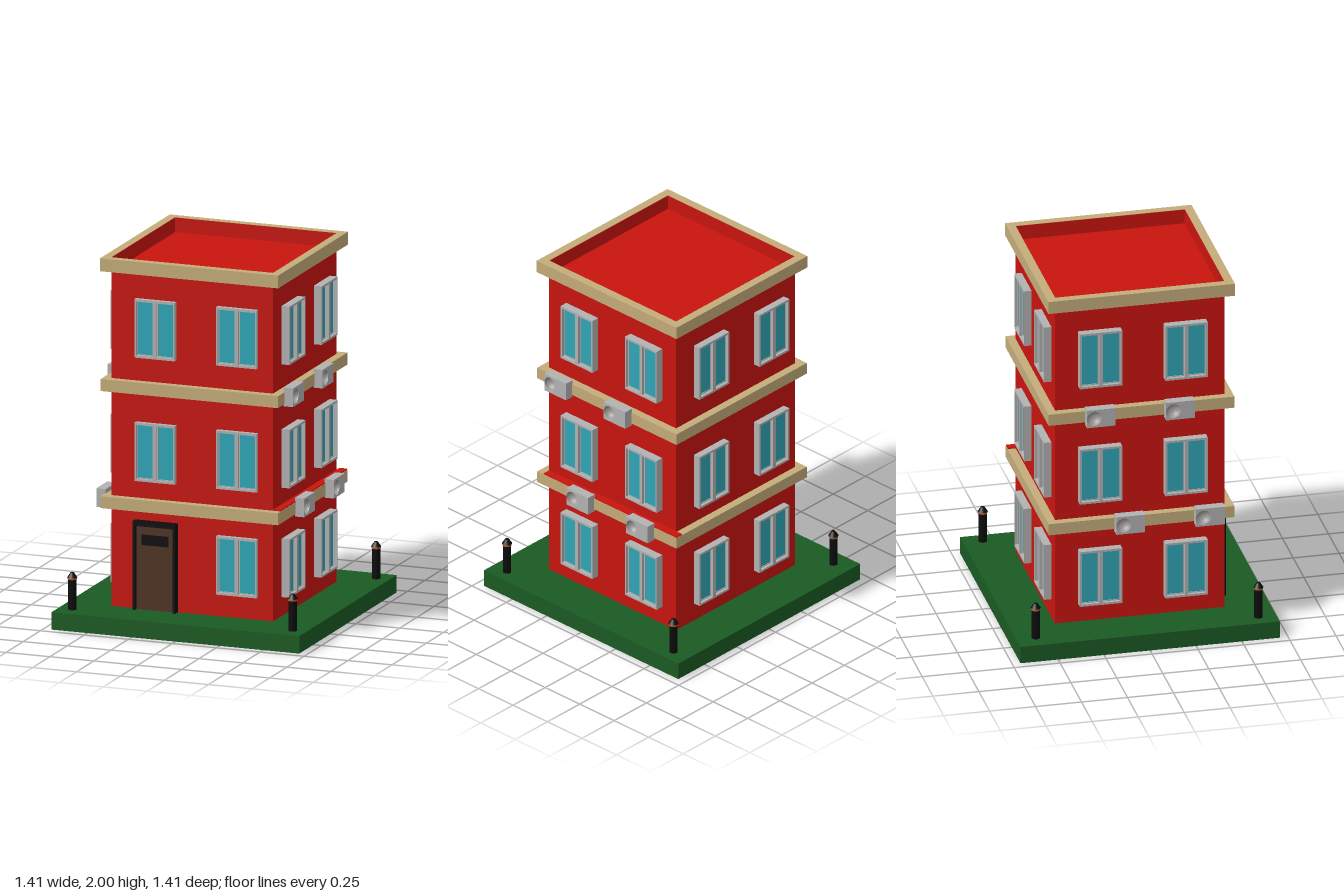
import * as THREE from 'three';

const mat = (color, side = THREE.FrontSide) =>
  new THREE.MeshStandardMaterial({ color, side, roughness: 0.8 });
const RED = mat(0xc8140e), TAN = mat(0xc4ac7a), GREEN = mat(0x1a5a23), GLASS = mat(0x30a6b6);
const GREY = mat(0xb2b2b2), BLACK = mat(0x0c0c0c), BROWN = mat(0x4f3222), ORANGE = mat(0xb8602a);
const DISH = mat(0xa09a9a, THREE.DoubleSide);

function add(parent, name, geometry, material, x = 0, y = 0, z = 0) {
  const mesh = new THREE.Mesh(geometry, material);
  mesh.name = name;
  mesh.position.set(x, y, z);
  parent.add(mesh);
  return mesh;
}

// Box given by its lower and upper limits
function box(parent, name, material, x0, x1, y0, y1, z0, z1) {
  return add(parent, name, new THREE.BoxGeometry(x1 - x0, y1 - y0, z1 - z0), material,
    (x0 + x1) / 2, (y0 + y1) / 2, (z0 + z1) / 2);
}

function rectPoints(w, h, x = 0, y = 0) {
  return [[-1, -1], [1, -1], [1, 1], [-1, 1]].map(([i, j]) =>
    new THREE.Vector2(x + i * w / 2, y + j * h / 2));
}

// Rectangular plate with holes, extruded along +z
function plate(w, h, depth, holes) {
  const shape = new THREE.Shape(rectPoints(w, h));
  shape.holes = holes;
  return new THREE.ExtrudeGeometry(shape, { depth, bevelEnabled: false, curveSegments: 24 });
}

// Square ring lying flat, rising from y0
function squareRing(parent, name, material, outer, inner, y0, y1) {
  const geo = plate(outer * 2, outer * 2, y1 - y0, [new THREE.Path(rectPoints(inner * 2, inner * 2))]);
  geo.rotateX(-Math.PI / 2);
  return add(parent, name, geo, material, 0, y0, 0);
}

// Double casement window, its back on z = 0
function makeWindow(depth) {
  const g = new THREE.Group();
  g.name = 'window';
  const holes = [-0.058, 0.058].map(x => new THREE.Path(rectPoints(0.096, 0.296, x)));
  add(g, 'windowFrame', plate(0.23, 0.32, depth, holes), GREY);
  const zGlass = Math.max(depth - 0.022, 0.006);
  for (const x of [-0.058, 0.058]) {
    add(g, 'sash', plate(0.096, 0.296, 0.006, [new THREE.Path(rectPoints(0.086, 0.286))]), GREY, x, 0, zGlass);
    add(g, 'glass', new THREE.BoxGeometry(0.096, 0.296, 0.004), GLASS, x, 0, zGlass);
  }
  return g;
}

// Wall-mounted cooling unit with a round dished fan opening
function makeCoolingUnit() {
  const g = new THREE.Group();
  g.name = 'coolingUnit';
  const hole = new THREE.Path().absarc(-0.038, 0, 0.04, 0, Math.PI * 2);
  add(g, 'unitCase', plate(0.156, 0.102, 0.043, [hole]), GREY, 0, 0, 0.01);
  add(g, 'unitBack', new THREE.BoxGeometry(0.156, 0.102, 0.01), GREY, 0, 0, 0.005);
  const profile = [];
  for (let i = 0; i <= 8; i++) {
    const a = i / 8 * Math.PI / 2;
    profile.push(new THREE.Vector2(0.04 * Math.sin(a), -0.036 * Math.cos(a)));
  }
  const dish = new THREE.LatheGeometry(profile, 28).rotateX(Math.PI / 2);
  add(g, 'fanDish', dish, DISH, -0.038, 0, 0.05);
  return g;
}

// Short lamp post with an orange light band
function makePost() {
  const g = new THREE.Group();
  g.name = 'lampPost';
  add(g, 'postShaft', new THREE.CylinderGeometry(0.022, 0.022, 0.17, 20), BLACK, 0, 0.085, 0);
  add(g, 'lightBand', new THREE.CylinderGeometry(0.025, 0.025, 0.01, 20), ORANGE, 0, 0.17, 0);
  add(g, 'postCap', new THREE.CylinderGeometry(0.01, 0.027, 0.026, 20), BLACK, 0, 0.188, 0);
  return g;
}

export function createModel() {
  const model = new THREE.Group();
  model.name = 'apartmentBuilding';
  const W = 0.46;

  // Lawn and main walls
  box(model, 'lawn', GREEN, -0.705, 0.705, 0, 0.095, -0.705, 0.705);
  box(model, 'walls', RED, -W, W, 0.095, 1.92, -W, W);

  // Storey bands, parapet and its inner lining
  box(model, 'lowerBand', TAN, -0.505, 0.505, 0.635, 0.7, -0.505, 0.505);
  box(model, 'upperBand', TAN, -0.505, 0.505, 1.275, 1.34, -0.505, 0.505);
  box(model, 'bandTop', RED, W, 0.503, 0.698, 0.706, -0.503, W);
  squareRing(model, 'parapet', TAN, 0.507, 0.46, 1.93, 2);
  squareRing(model, 'parapetLining', RED, 0.46, 0.457, 1.91, 1.999);

  // Each side: turn about y, window offsets, frame depth, ground floor window height
  const sides = [
    { name: 'front', turn: 0, us: [-0.205, 0.26], depth: 0.025, ground: 0.378 },
    { name: 'left', turn: Math.PI / 2, us: [-0.22, 0.245], depth: 0.045, ground: 0.358 },
    { name: 'back', turn: Math.PI, us: [-0.205, 0.26], depth: 0.04, ground: 0.358 },
    { name: 'right', turn: -Math.PI / 2, us: [-0.22, 0.245], depth: 0.045, ground: 0.358 },
  ];
  for (const s of sides) {
    const side = new THREE.Group();
    side.name = s.name + 'Side';
    side.rotation.y = s.turn;
    model.add(side);
    for (const y of [s.ground, 0.956, 1.63]) {
      s.us.forEach((u, i) => {
        if (s.name === 'front' && i === 0 && y === s.ground) return; // the door goes here
        const w = makeWindow(s.depth);
        w.position.set(u, y, W);
        side.add(w);
      });
    }
    // Cooling units on the two flanks
    if (s.name === 'left' || s.name === 'right') {
      const shift = s.name === 'left' ? 0 : 0.1;
      for (const [u, y] of [[-0.33, 1.313], [0.1, 1.313], [-0.17, 0.673], [0.263, 0.673]]) {
        const unit = makeCoolingUnit();
        unit.position.set(u + shift, y, 0.5);
        side.add(unit);
      }
    }
  }

  // Front door
  const door = new THREE.Group();
  door.name = 'door';
  model.add(door);
  box(door, 'doorJamb', BLACK, -0.325, -0.311, 0.095, 0.58, W, 0.5);
  box(door, 'doorJamb', BLACK, -0.096, -0.082, 0.095, 0.58, W, 0.5);
  box(door, 'doorLintel', BLACK, -0.311, -0.096, 0.555, 0.58, W, 0.5);
  box(door, 'doorLeaf', BROWN, -0.311, -0.096, 0.095, 0.555, W, 0.475);
  box(door, 'doorPane', BLACK, -0.283, -0.128, 0.448, 0.505, W, 0.478);

  // Lamp posts at the corners of the lawn
  for (const [x, z] of [[-0.61, -0.6], [0.63, -0.6], [-0.625, 0.607], [0.63, 0.607]]) {
    const post = makePost();
    post.position.set(x, 0.095, z);
    model.add(post);
  }
  return model;
}
